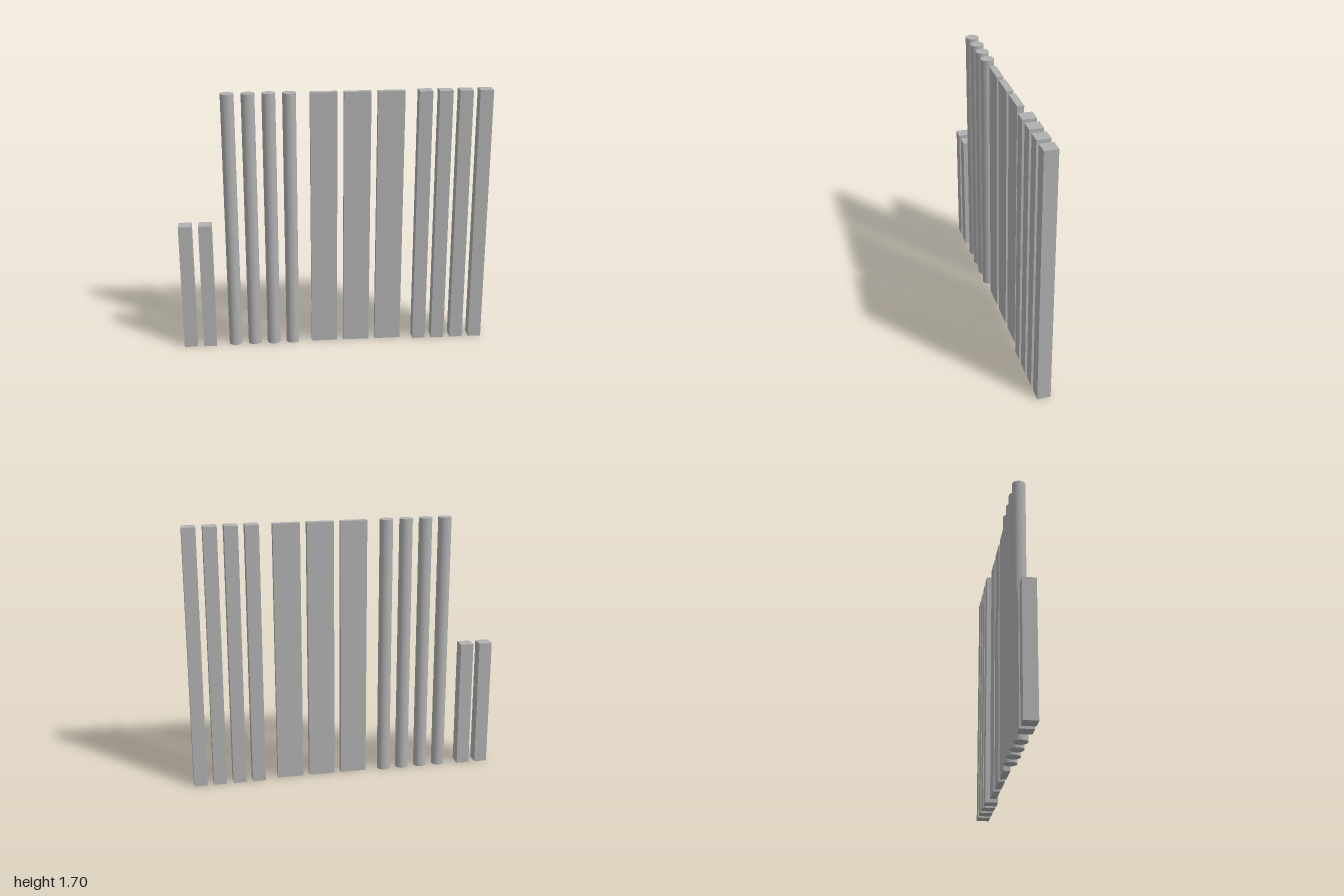
import * as THREE from 'three';

// Everything sits on a module of 1/47 of the total length.
const U = 2 / 47;

export function createModel() {
  const model = new THREE.Group();
  model.name = 'postRow';
  const grey = new THREE.MeshStandardMaterial({ color: 0xb0b0b0 });
  grey.name = 'grey';

  // Places a run of equal uprights: one-unit gaps, starting at module `start`.
  function addRun(name, geometry, count, start, width, height) {
    const run = new THREE.Group();
    run.name = name + 's';
    for (let i = 0; i < count; i++) {
      const mesh = new THREE.Mesh(geometry, grey);
      mesh.name = name + (i + 1);
      mesh.position.set((start + width / 2 + i * (width + 1)) * U - 1, height * U / 2, 0);
      run.add(mesh);
    }
    model.add(run);
  }

  const box = (w, h, d) => new THREE.BoxGeometry(w * U, h * U, d * U);

  // Two half-height square posts
  addRun('shortPost', box(2, 20, 2), 2, 0, 2, 20);
  // Four round poles
  addRun('roundPole', new THREE.CylinderGeometry(U, U, 40 * U, 40), 4, 7, 2, 40);
  // Three wide thin planks
  addRun('plank', box(4, 40, 1), 3, 20, 4, 40);
  // Four full-height square posts
  addRun('tallPost', box(2, 40, 2), 4, 36, 2, 40);

  return model;
}
